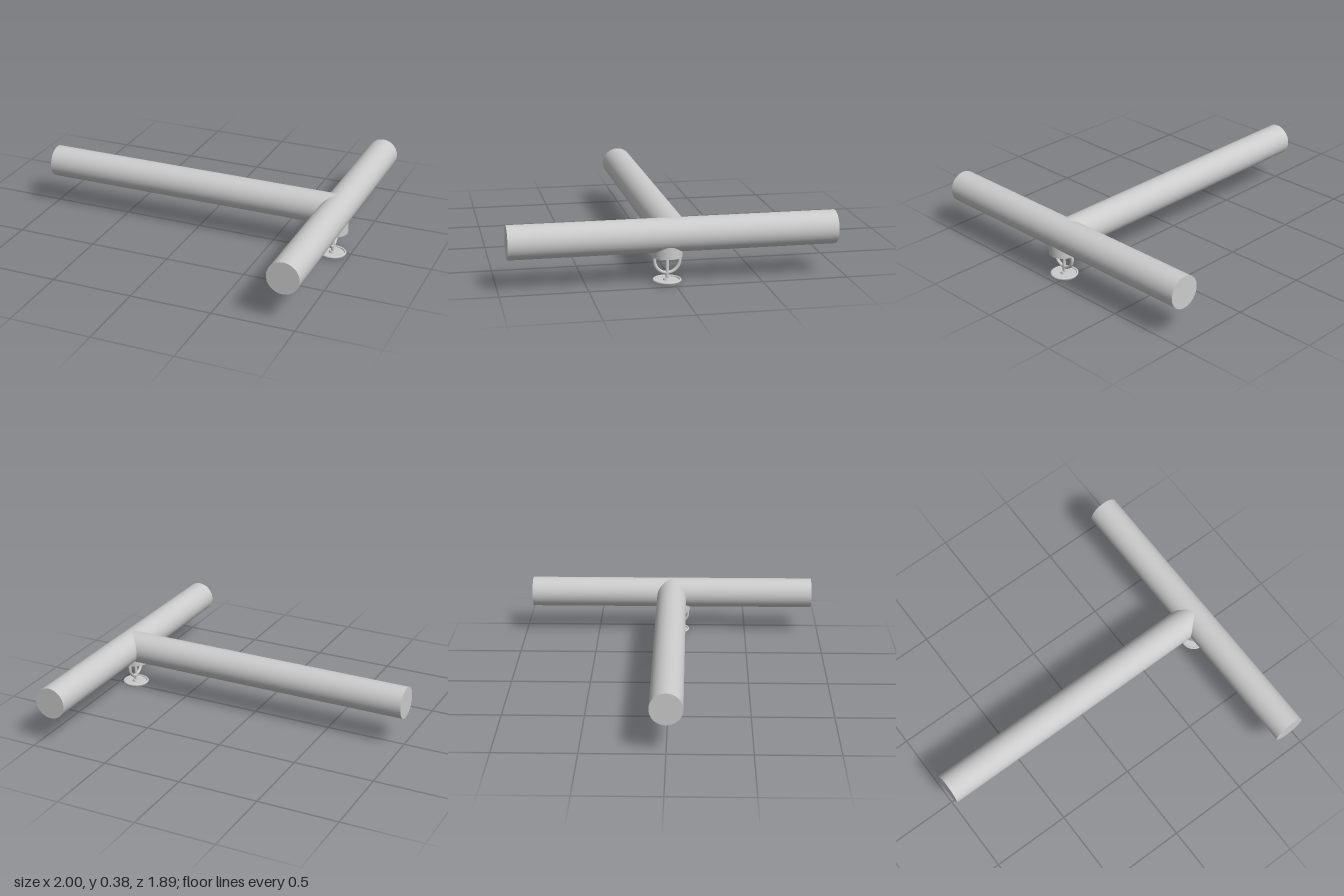
import * as THREE from 'three';

export function createModel() {
  const model = new THREE.Group();
  const material = new THREE.MeshStandardMaterial({ color: 0xcccccc, side: THREE.DoubleSide });
  const add = (parent, name, geometry, x, y, z) => {
    const mesh = new THREE.Mesh(geometry, material);
    mesh.name = name;
    mesh.position.set(x, y, z);
    parent.add(mesh);
    return mesh;
  };

  // Main pipe along z, branch pipe along x running into its centre
  const R = 0.098, pipeX = 0.902, pipeY = 0.279;
  add(model, 'mainPipe', new THREE.CylinderGeometry(R, R, 1.89, 64), pipeX, pipeY, 0).rotation.x = Math.PI / 2;
  add(model, 'branchPipe', new THREE.CylinderGeometry(R, R, 1 + pipeX, 64),
    (pipeX - 1) / 2, pipeY, 0).rotation.z = Math.PI / 2;

  // Sprinkler head hanging below the main pipe
  const head = new THREE.Group();
  head.name = 'sprinklerHead';
  head.position.set(0.897, 0, 0.036);
  model.add(head);

  add(head, 'socket', new THREE.CylinderGeometry(0.087, 0.087, 0.1, 48), 0, 0.203, 0);
  add(head, 'frameRing', new THREE.TorusGeometry(0.073, 0.01, 12, 48), 0, 0.128, 0).rotation.y = Math.PI / 2;
  add(head, 'stem', new THREE.CylinderGeometry(0.01, 0.01, 0.15, 20), 0, 0.085, 0);

  // Deflector plate with a thin rim and a small hub
  add(head, 'deflectorPlate', new THREE.CylinderGeometry(0.08, 0.074, 0.012, 48), 0, 0.006, 0);
  add(head, 'deflectorRim', new THREE.TorusGeometry(0.076, 0.007, 10, 48), 0, 0.013, 0).rotation.x = Math.PI / 2;
  add(head, 'deflectorHub', new THREE.CylinderGeometry(0.02, 0.024, 0.012, 24), 0, 0.018, 0);

  return model;
}
